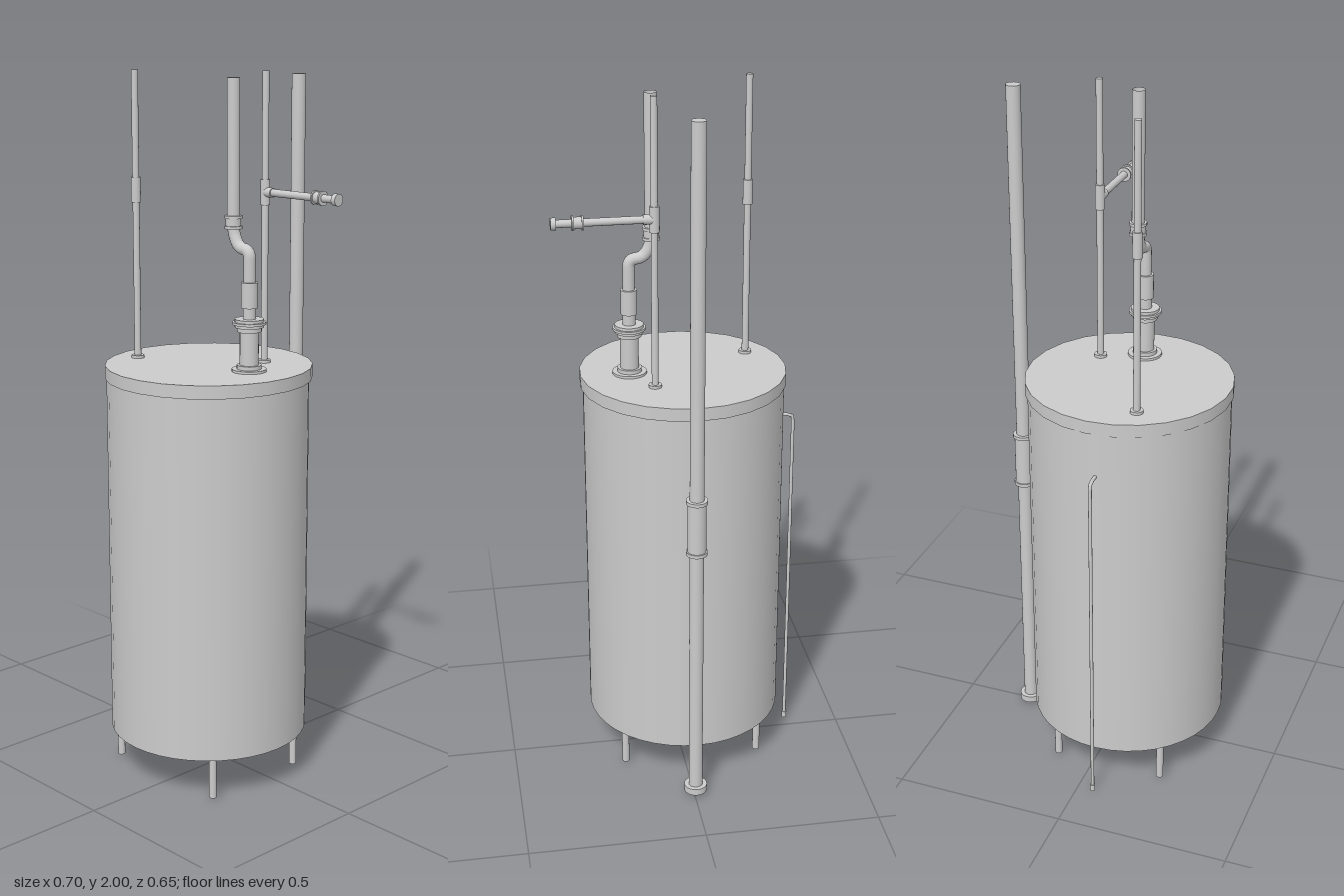
import * as THREE from 'three';

const material = new THREE.MeshStandardMaterial({ color: 0xcccccc, side: THREE.DoubleSide });

function add(parent, name, geometry, x = 0, y = 0, z = 0) {
  const mesh = new THREE.Mesh(geometry, material);
  mesh.name = name;
  mesh.position.set(x, y, z);
  parent.add(mesh);
  return mesh;
}

// Upright cylinder between two heights
function post(parent, name, r, y0, y1, x = 0, z = 0, open = false, sides = 20) {
  const geometry = new THREE.CylinderGeometry(r, r, y1 - y0, sides, 1, open);
  return add(parent, name, geometry, x, (y0 + y1) / 2, z);
}

// Group standing at (x, z) on the floor
function assembly(parent, name, x, z) {
  const group = new THREE.Group();
  group.name = name;
  group.position.set(x, 0, z);
  parent.add(group);
  return group;
}

// Rounded path of straight runs joined by curved corners
function bentTube(points, bend, r) {
  const pts = points.map(([x, y]) => new THREE.Vector3(x, y, 0));
  const path = new THREE.CurvePath();
  let from = pts[0];
  for (let i = 1; i < pts.length - 1; i++) {
    const p = pts[i];
    const a = p.clone().add(pts[i - 1].clone().sub(p).setLength(bend));
    const b = p.clone().add(pts[i + 1].clone().sub(p).setLength(bend));
    path.add(new THREE.LineCurve3(from, a));
    path.add(new THREE.QuadraticBezierCurve3(a, p, b));
    from = b;
  }
  path.add(new THREE.LineCurve3(from, pts[pts.length - 1]));
  return new THREE.TubeGeometry(path, 60, r, 16, false);
}

// Thin water pipe rising from the lid, with a floor collar and a coupling
function waterPipe(parent, name, x, z) {
  const g = assembly(parent, name, x, z);
  post(g, 'pipe', 0.0095, 1.19, 2, 0, 0);
  post(g, 'collar', 0.018, 1.195, 1.208);
  post(g, 'coupling', 0.0135, 1.64, 1.71);
  return g;
}

export function createModel() {
  const model = new THREE.Group();
  model.name = 'waterHeater';

  // Tank, lid and legs
  const body = new THREE.CylinderGeometry(0.284, 0.284, 1.05, 40);
  add(model, 'tankBody', body, -0.024, 0.65, 0.04);
  const lid = new THREE.CylinderGeometry(0.2905, 0.2905, 0.037, 25, 1, false, Math.PI);
  add(model, 'lid', lid, -0.0215, 1.1815, 0.0385);
  for (const x of [-0.222, 0.175])
    for (const z of [0.21, -0.112]) post(model, 'leg', 0.0105, 0.005, 0.14, x, z);

  // Cold pipe, and hot pipe with a side branch
  waterPipe(model, 'frontWaterPipe', -0.218, 0.13);
  const hot = waterPipe(model, 'backWaterPipe', 0.075, -0.084);
  const branch = new THREE.Group();
  branch.name = 'sideBranch';
  branch.position.y = 1.675;
  branch.rotation.z = -Math.PI / 2;
  hot.add(branch);
  post(branch, 'branchPipe', 0.0105, 0, 0.27);
  post(branch, 'teeSocket', 0.0135, 0, 0.03);
  post(branch, 'valveBody', 0.016, 0.188, 0.217);
  for (const y of [0.187, 0.213]) post(branch, 'valveRing', 0.02, y, y + 0.005);
  post(branch, 'endCap', 0.0165, 0.259, 0.273);

  // Flue base, flanges and lower sleeve
  const flue = assembly(model, 'flue', 0.13, 0.029);
  post(flue, 'baseFlange', 0.048, 1.195, 1.207, 0, 0, false, 24);
  post(flue, 'baseStep', 0.034, 1.2, 1.218, 0, 0, false, 24);
  post(flue, 'draftHood', 0.026, 1.2, 1.33, 0, 0, false, 24);
  post(flue, 'lowerHoodRing', 0.034, 1.31, 1.324, 0, 0, false, 24);
  post(flue, 'topFlange', 0.04, 1.322, 1.345, 0, 0, false, 24);
  post(flue, 'topFlangeLip', 0.046, 1.33, 1.337, 0, 0, false, 24);
  post(flue, 'neck', 0.018, 1.34, 1.38);
  post(flue, 'sleeve', 0.023, 1.375, 1.445);

  // Offset bend, upper sleeve and open vent stack
  const bends = [[0, 1.44], [0, 1.53], [-0.042, 1.535], [-0.063, 1.575], [-0.063, 1.61]];
  add(flue, 'offsetBend', bentTube(bends, 0.02, 0.0165));
  post(flue, 'upperSleeve', 0.021, 1.585, 1.62, -0.063);
  for (const y of [1.584, 1.612]) post(flue, 'upperSleeveRing', 0.0245, y, y + 0.008, -0.063);
  post(flue, 'ventStack', 0.0175, 1.615, 1.985, -0.063, 0, true);

  // Free standing pipe behind the tank
  const standpipe = assembly(model, 'standpipe', -0.005, -0.295);
  post(standpipe, 'pipe', 0.02, 0.015, 1.985);
  post(standpipe, 'foot', 0.033, 0.01, 0.03);
  post(standpipe, 'coupling', 0.026, 0.79, 0.95);
  for (const y of [0.787, 0.942]) post(standpipe, 'couplingRing', 0.03, y, y + 0.01);

  // Thin relief tube down the side
  const relief = assembly(model, 'reliefTube', 0, 0.045);
  const run = [[-0.29, 1.034], [-0.345, 1.034], [-0.345, 0.004]];
  add(relief, 'tube', bentTube(run, 0.016, 0.005));
  post(relief, 'tubeEnd', 0.0075, 0, 0.02, -0.345);

  return model;
}
